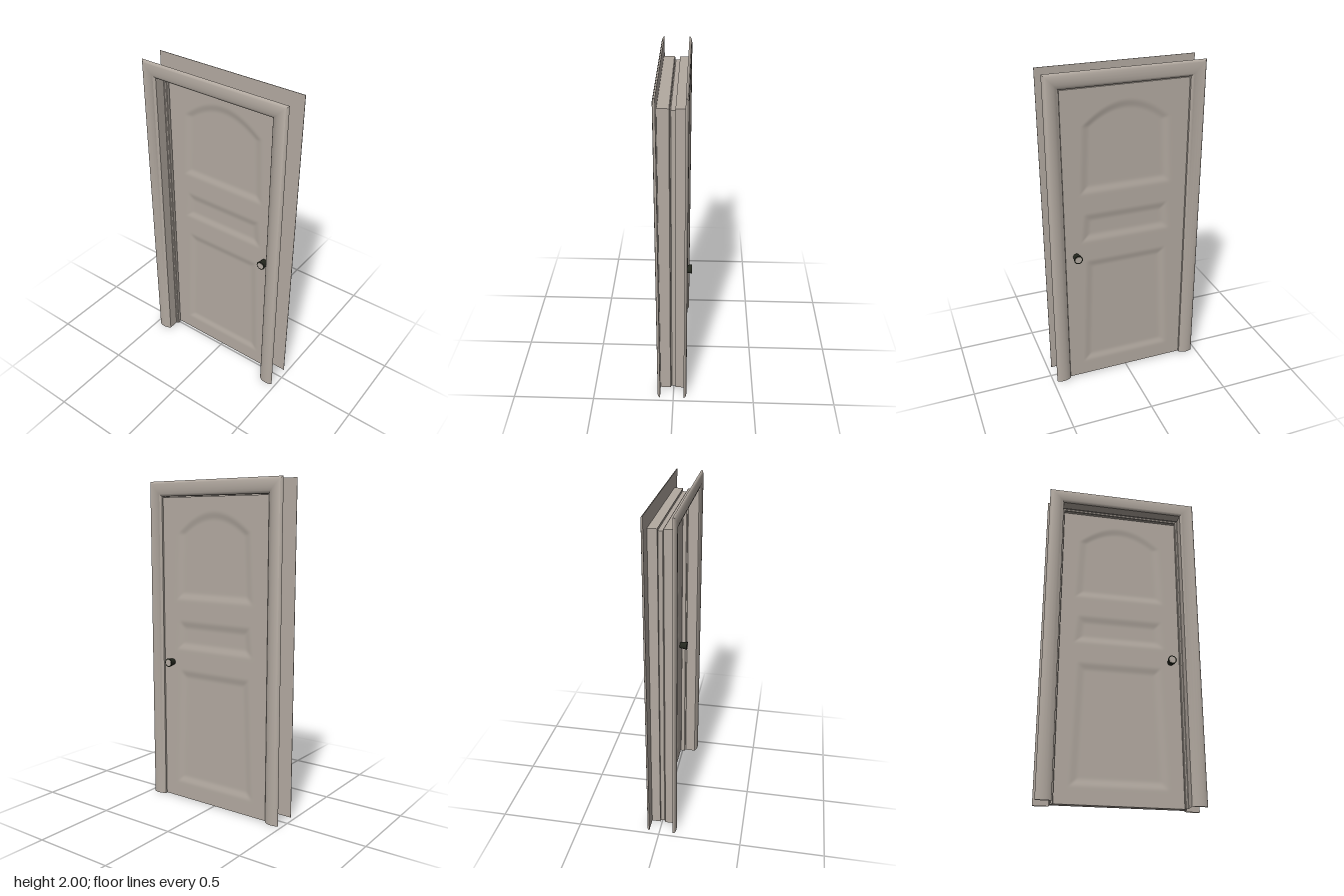
import * as THREE from 'three';
import { toCreasedNormals } from 'three/addons/utils/BufferGeometryUtils.js';

const HALF = 0.385, HEIGHT = 1.91; // door opening

// Sweeps a profile of [offset outward, z] up, over and down the opening with mitred corners
function sweepAroundOpening(profile, crease) {
  const pos = [], index = [], n = profile.length;
  for (let k = 0; k < 4; k++) {
    const side = k < 2 ? -1 : 1;
    const top = k === 1 || k === 2;
    for (const [d, z] of profile) pos.push(side * (HALF + d), top ? HEIGHT + d : 0, z);
  }
  for (let k = 0; k < 3; k++) {
    for (let i = 0; i < n - 1; i++) {
      const a = k * n + i, b = a + n;
      index.push(a, b, a + 1, b, b + 1, a + 1);
    }
  }
  const geo = new THREE.BufferGeometry();
  geo.setAttribute('position', new THREE.Float32BufferAttribute(pos, 3));
  geo.setIndex(index);
  return toCreasedNormals(geo, crease);
}

// Signed distance to a panel outline, positive inside
function insidePanel(x, y, { bottom, top, wide, narrow, arch }) {
  const t = THREE.MathUtils.clamp((y - bottom) / (top - bottom), 0, 1);
  const half = THREE.MathUtils.lerp(wide, narrow, t);
  const crown = top - arch * Math.pow(Math.min(Math.abs(x) / half, 1), 2);
  return Math.min(half - Math.abs(x), y - bottom, crown - y);
}

const PANELS = [
  { bottom: 1.28, top: 1.82, wide: 0.285, narrow: 0.26, arch: 0.13 },
  { bottom: 0.97, top: 1.16, wide: 0.285, narrow: 0.265, arch: 0 },
  { bottom: 0.1, top: 0.85, wide: 0.29, narrow: 0.26, arch: 0 },
];

// Door slab whose two faces sink softly into the panels
function doorGeometry(width, height, thick) {
  const geo = new THREE.BoxGeometry(width, height, thick, 74, 188, 1);
  geo.translate(0, height / 2 + 0.004, 0);
  const p = geo.attributes.position;
  for (let i = 0; i < p.count; i++) {
    const x = p.getX(i), y = p.getY(i), z = p.getZ(i);
    const d = Math.max(...PANELS.map((panel) => insidePanel(x, y, panel)));
    const sink = 0.008 * THREE.MathUtils.smoothstep(d, 0, 0.055);
    p.setZ(i, z - Math.sign(z) * sink);
  }
  geo.computeVertexNormals();
  return geo;
}

export function createModel() {
  const group = new THREE.Group();
  const paint = new THREE.MeshStandardMaterial({ color: 0xb3aaa1, side: THREE.DoubleSide });
  paint.name = 'warm grey paint';
  const metal = new THREE.MeshStandardMaterial({ color: 0x25281f });
  metal.name = 'dark metal';

  const add = (name, geo, mat, parent = group) => {
    const mesh = new THREE.Mesh(geo, mat);
    mesh.name = name;
    parent.add(mesh);
    return mesh;
  };

  // Rounded casings on both faces of the wall: [offset, height above wall]
  const casing = [
    [0, 0], [0.003, 0.003], [0.014, 0.01], [0.03, 0.0155], [0.048, 0.0175],
    [0.064, 0.0165], [0.077, 0.013], [0.086, 0.008], [0.09, 0.003], [0.09, 0], [0, 0],
  ];
  add('frontCasing', sweepAroundOpening(casing.map(([d, h]) => [d, 0.083 + h]), 0.7), paint);
  add('backCasing', sweepAroundOpening(casing.map(([d, h]) => [d, -0.064 - h]).reverse(), 0.7), paint);

  // Thin jamb lining with the door stop in the middle
  const jamb = [
    [0, 0.084], [0, 0.021], [-0.003, 0.017], [-0.012, 0.016], [-0.015, 0.012],
    [-0.015, -0.005], [-0.012, -0.011], [0, -0.012], [0, -0.065],
  ];
  add('jamb', sweepAroundOpening(jamb, 0.6), paint);

  // Door slab resting against the stop
  const door = new THREE.Group();
  door.name = 'door';
  door.position.z = -0.035;
  group.add(door);
  add('doorSlab', doorGeometry(0.764, 1.9, 0.044), paint, door);

  // Flared knobs on both faces
  for (const side of [1, -1]) {
    const knob = new THREE.Group();
    knob.name = side > 0 ? 'frontKnob' : 'backKnob';
    knob.position.set(0.317, 0.89, side * 0.022);
    knob.rotation.x = side * Math.PI / 2;
    door.add(knob);
    const body = add('knobBody', new THREE.CylinderGeometry(0.027, 0.019, 0.047, 16), metal, knob);
    body.position.y = 0.0235;
    const face = add('knobFace', new THREE.CylinderGeometry(0.02, 0.02, 0.001, 16), paint, knob);
    face.position.y = 0.0473;
  }
  return group;
}
